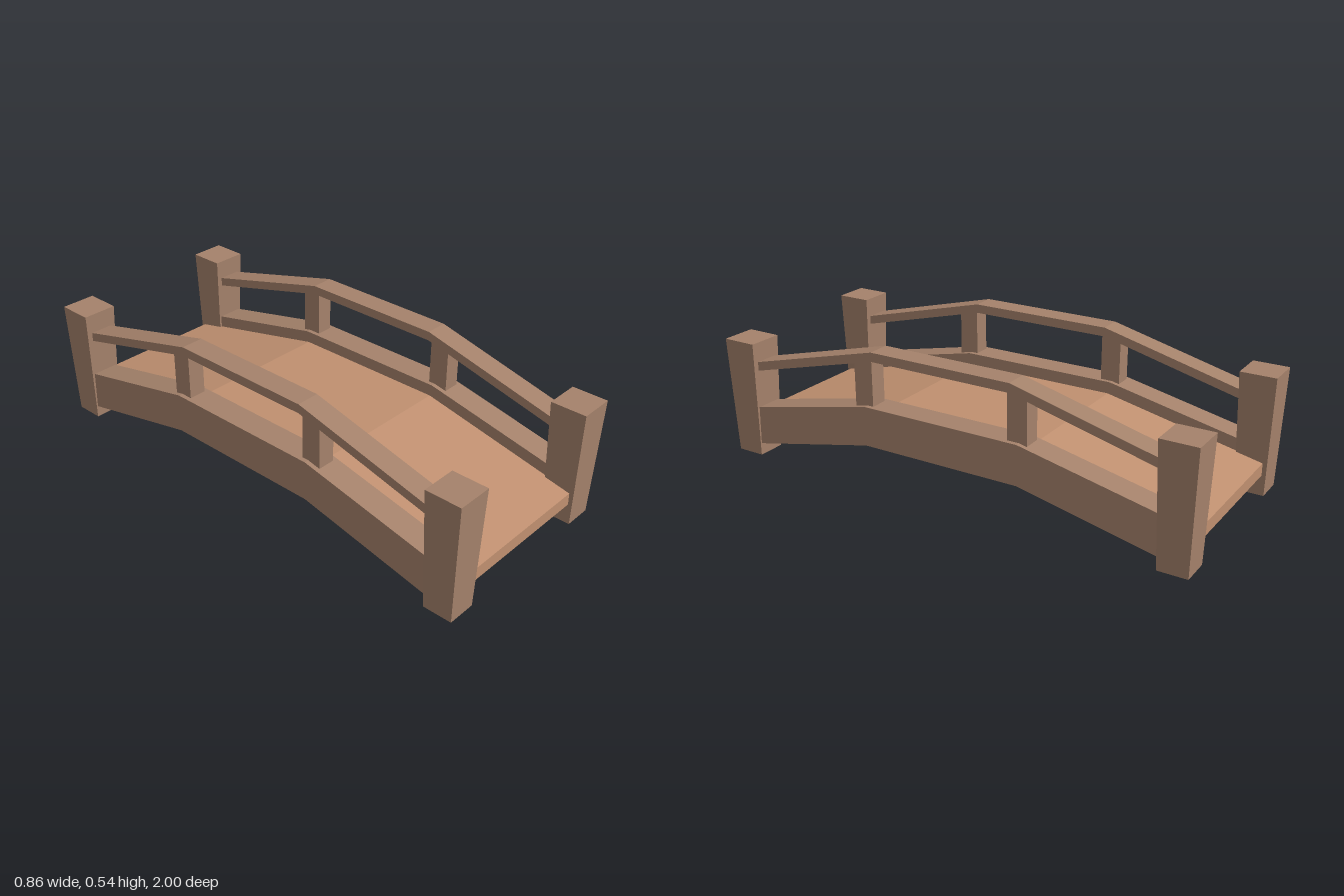
import * as THREE from 'three';

const wood = new THREE.MeshStandardMaterial({ color: 0xa5826b, flatShading: true });
const plank = new THREE.MeshStandardMaterial({ color: 0xc09070, flatShading: true });

// Three-segment arched bar running along z: flat in the middle, sloping to both ends
function archedBar(name, material, { x = 0, width, bend, end, topMid, topEnd, thick }) {
  const top = [[-end, topEnd], [-bend, topMid], [bend, topMid], [end, topEnd]];
  const bottom = top.map(([z, y]) => [z, y - thick]).reverse();
  const shape = new THREE.Shape([...bottom, ...top].map(([z, y]) => new THREE.Vector2(z, y)));
  const geometry = new THREE.ExtrudeGeometry(shape, { depth: width, bevelEnabled: false });
  geometry.translate(0, 0, -width / 2).rotateY(-Math.PI / 2).translate(x, 0, 0);
  const mesh = new THREE.Mesh(geometry, material);
  mesh.name = name;
  return mesh;
}

// Square post, wider at the top than at the foot
function cornerPost(x, z) {
  const height = 0.477;
  const geometry = new THREE.BoxGeometry(0.142, height, 0.142);
  const p = geometry.attributes.position;
  for (let i = 0; i < p.count; i++) {
    if (p.getY(i) < 0) p.setXYZ(i, p.getX(i) * 0.81, p.getY(i), p.getZ(i) * 0.81);
  }
  geometry.computeVertexNormals();
  const mesh = new THREE.Mesh(geometry, wood);
  mesh.position.set(x, height / 2, z);
  mesh.name = 'cornerPost';
  return mesh;
}

function baluster(x, z) {
  const mesh = new THREE.Mesh(new THREE.BoxGeometry(0.07, 0.2, 0.08), wood);
  mesh.position.set(x, 0.405, z);
  mesh.name = 'baluster';
  return mesh;
}

export function createModel() {
  const bridge = new THREE.Group();
  bridge.name = 'footbridge';

  // Walking surface
  bridge.add(archedBar('deck', plank, {
    width: 0.61, bend: 0.322, end: 0.973, topMid: 0.275, topEnd: 0.133, thick: 0.05,
  }));

  for (const side of [-1, 1]) {
    const x = side * 0.357;
    // Side beam and handrail
    bridge.add(archedBar('sideBeam', wood, {
      x, width: 0.106, bend: 0.329, end: 0.88, topMid: 0.323, topEnd: 0.204, thick: 0.157,
    }));
    bridge.add(archedBar('handrail', wood, {
      x, width: 0.092, bend: 0.295, end: 0.87, topMid: 0.541, topEnd: 0.395, thick: 0.036,
    }));
    // Uprights
    for (const z of [0.342, -0.321]) bridge.add(baluster(x, z));
    for (const end of [-1, 1]) bridge.add(cornerPost(x, end * 0.929));
  }
  return bridge;
}
